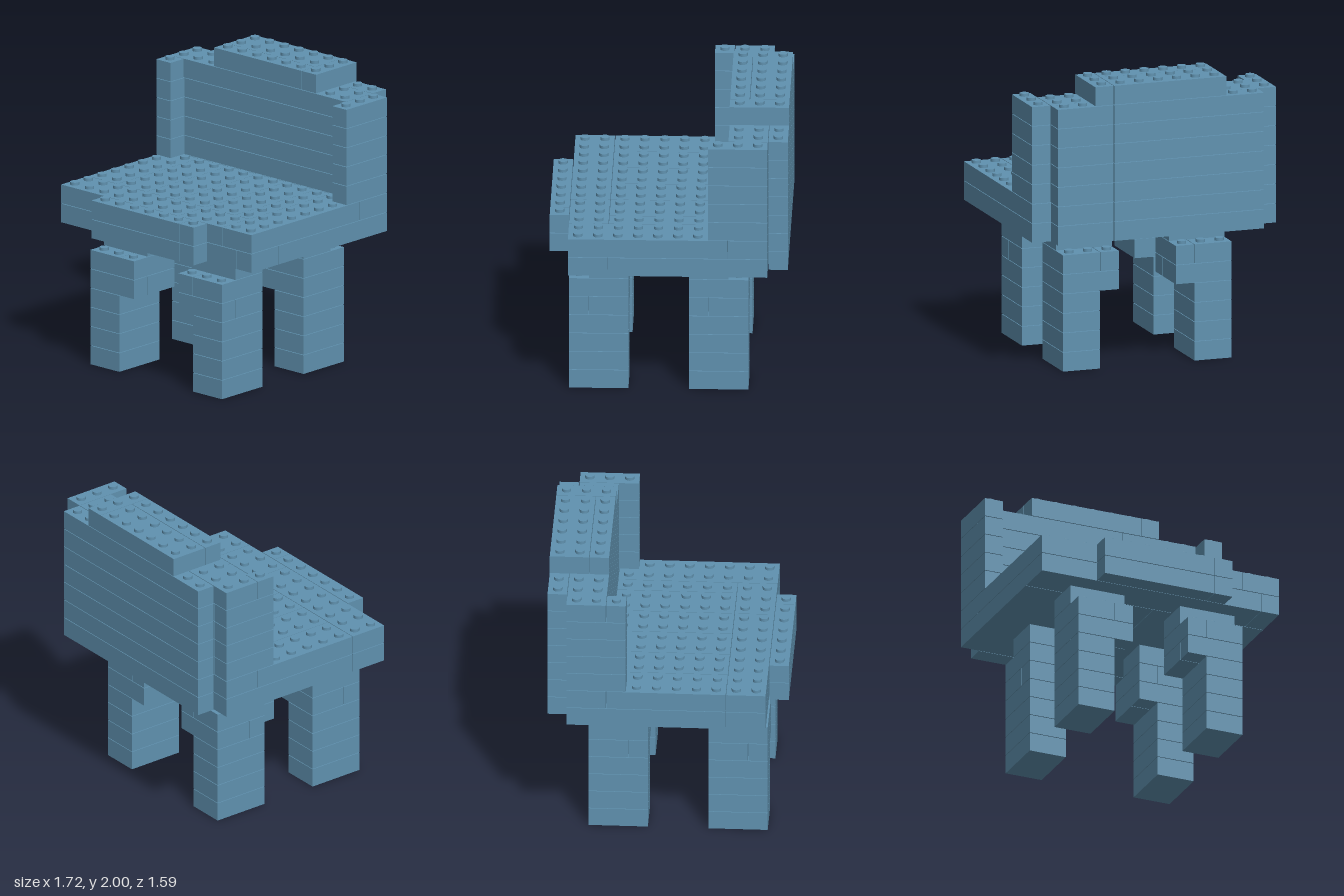
import * as THREE from 'three';
import { mergeGeometries } from 'three/addons/utils/BufferGeometryUtils.js';

const P = 0.1325;            // stud pitch, also the layer height
const GAP = 0.004;           // seam between neighbouring bricks
const NX = 13, NZ = 12;      // footprint in studs
const STUD_R = 0.031, STUD_H = 0.02;

// Each brick is [layer, x0, x1, z0, z1] in stud units (z 0 is the back edge)
const onLayers = (layers, plan) => layers.flatMap(l => plan.map(b => [l, ...b]));
const mirrorX = bricks => bricks.map(([l, x0, x1, z0, z1]) => [l, NX - x1, NX - x0, z0, z1]);

// One leg: straight column, two wider layers, then a shorter block under the seat.
// z0 is the leg's back edge, front tells which end is the outer one.
function legBricks(z0, front) {
  const z1 = z0 + 3;
  const split = front ? z0 + 2 : z0 + 2;
  return [
    ...onLayers([0, 1, 2, 3], [[2, 4, z0, z1]]),
    [4, 2, 5, z0, split], [4, 2, 5, split, z1],
    [5, 2, 4, z0, z1], [5, 4, 5, z0, z1],
    front ? [6, 2, 5, z0, z0 + 2] : [6, 2, 5, z0 + 1, z1],
  ];
}

const frontLeg = legBricks(8, true);
const backLeg = legBricks(2, false);
const backRow = [[1, 9, 0, 1], [9, 12, 0, 1]];
const frontLip = [[3, 9, 11, 12], [9, 10, 11, 12]];

const parts = {
  frontRightLeg: frontLeg,
  frontLeftLeg: mirrorX(frontLeg),
  backRightLeg: backLeg,
  backLeftLeg: mirrorX(backLeg),
  seatBase: onLayers([7], [
    [0, 7, 1, 9], [7, 13, 1, 9],
    [0, 12, 9, 11], [12, 13, 9, 11],
    ...frontLip, ...backRow,
  ]),
  seatTop: onLayers([8], [
    [0, 2, 3, 9], [2, 4, 3, 9], [4, 6, 3, 9], [6, 8, 3, 9], [8, 10, 3, 9], [10, 11, 3, 9],
    [11, 13, 3, 11], [0, 8, 9, 11], [8, 11, 9, 11],
    [0, 8, 1, 3], [8, 13, 1, 3],
    ...frontLip, ...backRow,
  ]),
  backrest: [
    ...onLayers([9, 10, 11, 12], [[1, 8, 1, 3], [8, 12, 1, 3], ...backRow]),
    ...onLayers([13], [[0, 8, 1, 3], [8, 12, 1, 3], ...backRow]),
  ],
  rightPost: [...onLayers([9, 10, 11, 12], [[0, 1, 1, 4]]), [13, 0, 1, 3, 4]],
  leftPost: onLayers([9, 10, 11, 12, 13], [[12, 13, 1, 4]]),
  topRail: onLayers([14], [[3, 9, 0, 2], [3, 9, 2, 3], [9, 10, 0, 3]]),
};

// Brick body plus a stud on every cell that nothing sits on
function brickGeometry([l, x0, x1, z0, z1], occupied) {
  const h = P - GAP;
  const body = new THREE.BoxGeometry((x1 - x0) * P - GAP, h, (z1 - z0) * P - GAP);
  body.translate(((x0 + x1) / 2 - NX / 2) * P, l * P + h / 2, ((z0 + z1) / 2 - NZ / 2) * P);
  const pieces = [body];
  for (let x = x0; x < x1; x++) {
    for (let z = z0; z < z1; z++) {
      if (occupied.has(`${l + 1},${x},${z}`)) continue;
      const stud = new THREE.CylinderGeometry(STUD_R, STUD_R, STUD_H, 20);
      stud.translate((x + 0.5 - NX / 2) * P, l * P + h + STUD_H / 2, (z + 0.5 - NZ / 2) * P);
      pieces.push(stud);
    }
  }
  return mergeGeometries(pieces);
}

export function createModel() {
  const model = new THREE.Group();
  model.name = 'brickChair';
  const blue = new THREE.MeshStandardMaterial({ color: 0x6092b0 });
  blue.name = 'steelBlue';

  // Cells filled by bricks, used to leave out covered studs
  const occupied = new Set();
  for (const [l, x0, x1, z0, z1] of Object.values(parts).flat())
    for (let x = x0; x < x1; x++)
      for (let z = z0; z < z1; z++) occupied.add(`${l},${x},${z}`);

  for (const [name, bricks] of Object.entries(parts)) {
    const group = new THREE.Group();
    group.name = name;
    bricks.forEach((brick, i) => {
      const mesh = new THREE.Mesh(brickGeometry(brick, occupied), blue);
      mesh.name = `${name}Brick${i + 1}`;
      group.add(mesh);
    });
    model.add(group);
  }
  return model;
}
